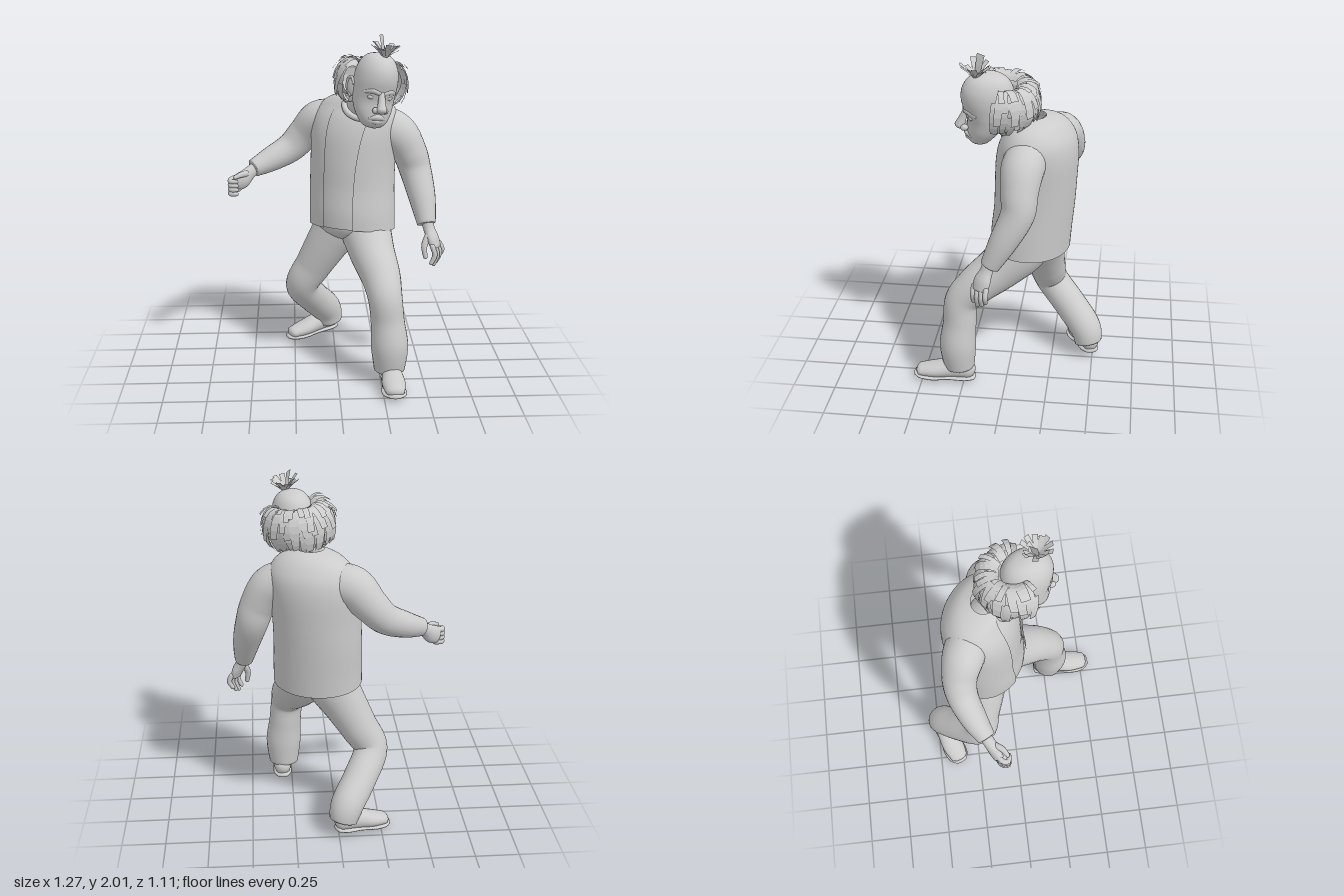
import * as THREE from 'three';
import { mergeVertices, mergeGeometries } from 'three/addons/utils/BufferGeometryUtils.js';

const V = (x, y, z) => new THREE.Vector3(x, y, z);
const smooth = new THREE.MeshStandardMaterial({ color: 0xcccccc, side: THREE.DoubleSide });
const flat = new THREE.MeshStandardMaterial({ color: 0xcccccc, side: THREE.DoubleSide, flatShading: true });

let seed = 7;
const rnd = () => (seed = (seed * 16807) % 2147483647) / 2147483647;

// Catmull-Rom interpolation of every column in a table of rows
function spline(rows, t) {
  const s = t * (rows.length - 1), i = Math.min(Math.floor(s), rows.length - 2), f = s - i;
  const at = k => rows[Math.max(0, Math.min(rows.length - 1, k))];
  const [p, a, b, n] = [at(i - 1), at(i), at(i + 1), at(i + 2)];
  return a.map((_, c) => a[c] + 0.5 * f * (b[c] - p[c] + f * (2 * p[c] - 5 * a[c] + 4 * b[c] - n[c]
    + f * (3 * (a[c] - b[c]) + n[c] - p[c]))));
}

// Grid surface from a point function: i runs along, j runs around
function surface(ni, nj, point) {
  const pos = [], idx = [];
  for (let i = 0; i <= ni; i++) for (let j = 0; j <= nj; j++) pos.push(...point(i, j).toArray());
  for (let i = 0; i < ni; i++) for (let j = 0; j < nj; j++) {
    const a = i * (nj + 1) + j, c = a + nj + 1;
    idx.push(a, a + 1, c, a + 1, c + 1, c);
  }
  let g = new THREE.BufferGeometry();
  g.setAttribute('position', new THREE.Float32BufferAttribute(pos, 3));
  g.setIndex(idx);
  g = mergeVertices(g, 1e-5);
  g.computeVertexNormals();
  return g;
}

// Rounded sweep through rows of [x, y, z, radius, second radius]
function limb(pts, { sides = 24, per = 6, cap = 0.6, ref = V(0.3, 0.2, 1) } = {}) {
  const rows = pts.map(p => [p[0], p[1], p[2], p[3], p[4] ?? p[3]]);
  const n = per * (rows.length - 1), rings = [], N = ref.clone();
  for (let i = 0; i <= n; i++) {
    const r = spline(rows, i / n), a = spline(rows, Math.max(0, i / n - 0.01)), b = spline(rows, Math.min(1, i / n + 0.01));
    const T = V(b[0] - a[0], b[1] - a[1], b[2] - a[2]).normalize();
    N.addScaledVector(T, -N.dot(T)).normalize();
    const ring = (out, k) => rings.push({ c: V(r[0], r[1], r[2]).addScaledVector(T, out * cap * Math.min(r[3], r[4])),
      N: N.clone(), B: T.clone().cross(N), r1: r[3] * k, r2: r[4] * k });
    if (i === 0) for (const q of [1, 0.75, 0.5, 0.25]) ring(-Math.sin(q * Math.PI / 2), Math.cos(q * Math.PI / 2));
    ring(0, 1);
    if (i === n) for (const q of [0.25, 0.5, 0.75, 1]) ring(Math.sin(q * Math.PI / 2), Math.cos(q * Math.PI / 2));
  }
  return surface(rings.length - 1, sides, (i, j) => {
    const { c, N, B, r1, r2 } = rings[i], a = (j % sides) / sides * Math.PI * 2;
    return c.clone().addScaledVector(N, r1 * Math.cos(a)).addScaledVector(B, r2 * Math.sin(a));
  });
}

function add(group, name, geo, mat = smooth) {
  const m = new THREE.Mesh(geo, mat);
  m.name = name;
  group.add(m);
  return m;
}
function ball(group, name, p, s) {
  const m = add(group, name, new THREE.SphereGeometry(1, 24, 16));
  m.position.set(...p);
  m.scale.set(...s);
  return m;
}

// Torso turned towards the model's right: [y, centre x, centre z, half width, half depth]
const TURN = 0.47;
const torsoRows = [
  [0.845, 0.10, -0.125, 0.262, 0.215], [0.95, 0.10, -0.13, 0.26, 0.22], [1.1, 0.10, -0.145, 0.257, 0.22],
  [1.25, 0.105, -0.152, 0.257, 0.222], [1.4, 0.115, -0.16, 0.265, 0.217], [1.5, 0.125, -0.165, 0.258, 0.195],
  [1.57, 0.13, -0.165, 0.22, 0.155], [1.615, 0.13, -0.155, 0.16, 0.118], [1.64, 0.135, -0.135, 0.08, 0.075]];
function torso(scale, gap) {
  const ni = 40, nj = 56;
  return surface(ni, nj, (i, j) => {
    const t = i / ni, [y, cx, cz, a, b] = spline(torsoRows, t);
    const g = gap * (1 + 1.5 * t * t), p = g + (j / nj) * (Math.PI * 2 - gap - g);
    const u = a * scale * Math.sin(p), w = b * scale * Math.cos(p);
    return V(cx + u * Math.cos(TURN) - w * Math.sin(TURN), y + 0.025 * Math.cos(p) * Math.max(0, 1 - 4 * t),
      cz + u * Math.sin(TURN) + w * Math.cos(TURN));
  });
}

function buildHead() {
  const head = new THREE.Group();
  head.name = 'head';
  // Skull and jaw: [y, half width, front z, back z]
  const rows = [[-0.21, 0.006, 0.07, 0.04], [-0.2, 0.05, 0.098, 0.0], [-0.17, 0.08, 0.118, -0.03], [-0.12, 0.105, 0.12, -0.07],
    [-0.06, 0.118, 0.12, -0.11], [0, 0.122, 0.138, -0.13], [0.06, 0.122, 0.153, -0.14], [0.12, 0.112, 0.148, -0.13],
    [0.17, 0.087, 0.118, -0.1], [0.198, 0.052, 0.07, -0.05], [0.208, 0.001, 0.02, 0.018]];
  add(head, 'skull', surface(40, 40, (i, j) => {
    const [y, w, f, b] = spline(rows, i / 40), a = (j % 40) / 40 * Math.PI * 2;
    return V(w * Math.sin(a), y, (f + b) / 2 + (f - b) / 2 * Math.cos(a));
  }));
  add(head, 'nose', limb([[0, 0.005, 0.122, 0.016], [0, -0.05, 0.142, 0.021], [0, -0.095, 0.16, 0.028, 0.03]], { sides: 16, cap: 0.7 }));
  add(head, 'upperLip', limb([[-0.045, -0.152, 0.1, 0.01], [0, -0.14, 0.118, 0.018], [0.045, -0.152, 0.1, 0.01]], { sides: 12 }));
  add(head, 'lowerLip', limb([[-0.038, -0.165, 0.098, 0.01], [0, -0.165, 0.114, 0.015], [0.038, -0.165, 0.098, 0.01]], { sides: 12 }));
  for (const s of [-1, 1]) {
    ball(head, 'nostril', [s * 0.027, -0.1, 0.138], [0.019, 0.018, 0.022]);
    ball(head, 'eye', [s * 0.05, -0.03, 0.102], [0.024, 0.015, 0.018]);
    add(head, 'brow', limb([[s * 0.012, -0.006, 0.13, 0.013], [s * 0.05, 0.006, 0.117, 0.017], [s * 0.088, -0.006, 0.082, 0.012]], { sides: 12 }));
    const ear = ball(head, 'ear', [s * 0.126, 0.0, -0.03], [0.014, 0.055, 0.034]);
    ear.rotation.y = s * -0.4;
    add(head, 'earRim', limb([[s * 0.13, -0.05, -0.02, 0.007], [s * 0.14, -0.01, -0.055, 0.009], [s * 0.142, 0.04, -0.05, 0.009],
      [s * 0.133, 0.055, -0.02, 0.008], [s * 0.126, 0.02, -0.003, 0.007]], { sides: 10 }));
  }

  // Crescent of hair round the back: a solid core covered with layered strips
  const around = (th, ph, k) => {
    const r = 0.128 + 0.08 * k * Math.cos(ph);
    return V(r * Math.sin(th), 0.038 + 0.118 * k * Math.sin(ph), -0.07 - r * Math.cos(th));
  };
  add(head, 'hairCore', surface(36, 16, (i, j) => around((i / 18 - 1) * 1.75, (j % 16) / 8 * Math.PI,
    0.9 * Math.sin(Math.PI * (0.08 + 0.84 * i / 36)) ** 0.25)), flat);
  const strips = [];
  for (let layer = 0; layer < 4; layer++) for (let i = 0; i < 19; i++) {
    const th = (i / 9 - 1) * 1.8 + (rnd() - 0.5) * 0.16, start = 2.3 - layer * 0.8 + (rnd() - 0.5) * 0.35;
    const len = 1.3 + rnd() * 0.5, half = 0.12 + rnd() * 0.06, flare = 0.02 + rnd() * 0.28, skew = (rnd() - 0.5) * 0.35;
    strips.push(surface(5, 1, (u, v) => around(th + skew * u / 5 + (v - 0.5) * 2 * half * (1 - 0.08 * u),
      start - len * u / 5, 0.97 + flare * (u / 5) ** 2)));
  }
  add(head, 'hairStrips', mergeGeometries(strips), flat);

  // Tuft on the crown
  const tuft = [];
  for (let i = 0; i < 19; i++) {
    const a = i * 2.4, tall = i === 0, lean = tall ? 0.03 : 0.03 + 0.055 * rnd(), h = tall ? 0.125 : 0.045 + 0.045 * rnd();
    const d = tall ? V(-0.7, 0, -0.7) : V(Math.sin(a), 0, Math.cos(a)), side = V(d.z, 0, -d.x), w = tall ? 0.026 : 0.016;
    tuft.push(surface(4, 1, (u, v) => V(0.008, 0.182, 0.072).addScaledVector(d, 0.01 + lean * (u / 4) ** 1.5)
      .addScaledVector(side, (v - 0.5) * 2 * w * (0.6 + 0.1 * u)).add(V(0, h * u / 4, 0))));
  }
  add(head, 'crownTuft', mergeGeometries(tuft), flat);
  head.position.set(0.207, 1.7, 0.1);
  head.rotation.set(0, 0.28, -0.14);
  return head;
}

function buildHands(g) {
  // Right hand, fingers curled inwards
  const right = new THREE.Group(), left = new THREE.Group();
  right.name = 'rightHand';
  left.name = 'leftHand';
  add(right, 'palm', limb([[-0.46, 1.19, -0.215, 0.036], [-0.51, 1.155, -0.185, 0.039, 0.034], [-0.55, 1.12, -0.16, 0.052, 0.034],
    [-0.585, 1.105, -0.145, 0.05, 0.028]], { ref: V(0, 1, 0) }));
  for (let i = 0; i < 4; i++) {
    const y = 1.14 - i * 0.025;
    add(right, 'finger', limb([[-0.575, y, -0.15, 0.016], [-0.613, y - 0.008, -0.13, 0.016], [-0.62, y - 0.014, -0.095, 0.015],
      [-0.585, y - 0.015, -0.085, 0.012]], { sides: 12, cap: 1 }));
  }
  add(right, 'thumb', limb([[-0.525, 1.155, -0.165, 0.022], [-0.555, 1.16, -0.12, 0.017], [-0.59, 1.15, -0.095, 0.013]], { sides: 12, cap: 1 }));
  // Left hand, hanging
  add(left, 'palm', limb([[0.524, 0.93, 0.06, 0.035], [0.54, 0.87, 0.078, 0.038, 0.032], [0.56, 0.82, 0.098, 0.052, 0.03],
    [0.575, 0.775, 0.108, 0.05, 0.024]], { ref: V(-0.5, 0, 0.85) }));
  for (let i = 0; i < 4; i++) {
    const x = 0.606 - i * 0.017, z = 0.072 + i * 0.025, l = [0.08, 0.105, 0.115, 0.1][i];
    add(left, 'finger', limb([[x - 0.004, 0.785, z, 0.015], [x + 0.012, 0.785 - l * 0.5, z + 0.003, 0.015],
      [x - 0.008, 0.785 - l, z + 0.004, 0.012]], { sides: 12, cap: 1 }));
  }
  add(left, 'thumb', limb([[0.535, 0.845, 0.105, 0.022], [0.507, 0.785, 0.128, 0.018], [0.513, 0.72, 0.138, 0.013]], { sides: 12, cap: 1 }));
  g.add(right, left);
}

// Shoe with a wider flat sole, from heel to toe; lift raises the heel
function buildShoe(name, heel, toe, lift) {
  const g = new THREE.Group(), up = { ref: V(0, 1, 0), cap: 0.9 };
  g.name = name;
  const at = (t, y, h, w) => [heel[0] + (toe[0] - heel[0]) * t, y + lift * (1 - t), heel[1] + (toe[1] - heel[1]) * t, h, w];
  add(g, 'upper', limb([at(0, 0.065, 0.055, 0.052), at(0.33, 0.07, 0.058, 0.058), at(0.7, 0.056, 0.046, 0.068), at(1, 0.048, 0.034, 0.056)], up));
  add(g, 'sole', limb([at(-0.12, 0.017, 0.016, 0.04), at(0.05, 0.016, 0.016, 0.057), at(0.4, 0.016, 0.014, 0.056), at(0.75, 0.017, 0.014, 0.072),
    at(1, 0.022, 0.014, 0.064), at(1.12, 0.028, 0.013, 0.04)], up));
  return g;
}

export function createModel() {
  const g = new THREE.Group();
  g.name = 'walkingMan';

  // Open jacket over a shirt
  add(g, 'jacket', torso(1, 0.35));
  add(g, 'shirt', torso(0.95, 0));
  add(g, 'neck', limb([[0.125, 1.5, -0.13, 0.1], [0.15, 1.57, -0.06, 0.092], [0.185, 1.64, 0.03, 0.085], [0.2, 1.7, 0.06, 0.08]]));
  const collar = add(g, 'collar', new THREE.TorusGeometry(0.092, 0.018, 12, 32));
  collar.position.set(0.14, 1.57, -0.05);
  collar.rotation.set(Math.PI / 2 + 0.6, -0.15, 0);
  add(g, 'rightSleeve', limb([[0.02, 1.47, -0.225, 0.115], [-0.09, 1.455, -0.275, 0.118], [-0.18, 1.365, -0.31, 0.1],
    [-0.265, 1.28, -0.305, 0.088], [-0.385, 1.22, -0.255, 0.074], [-0.485, 1.18, -0.2, 0.053]], { cap: 0.12 }));
  add(g, 'leftSleeve', limb([[0.23, 1.47, -0.13, 0.115], [0.355, 1.41, -0.1, 0.119], [0.432, 1.3, -0.092, 0.103], [0.47, 1.19, -0.085, 0.094],
    [0.505, 1.04, -0.012, 0.079], [0.525, 0.9, 0.06, 0.055]], { cap: 0.12 }));

  // Trousers
  ball(g, 'pelvis', [0.1, 0.87, -0.135], [0.225, 0.115, 0.19]).rotation.y = -TURN;
  add(g, 'rightTrouserLeg', limb([[0.065, 0.97, -0.165, 0.15], [0.025, 0.84, -0.17, 0.148], [-0.05, 0.71, -0.182, 0.13], [-0.13, 0.57, -0.203, 0.112],
    [-0.203, 0.43, -0.23, 0.1], [-0.13, 0.3, -0.35, 0.098], [-0.05, 0.19, -0.45, 0.096], [-0.025, 0.1, -0.474, 0.082]], { cap: 0.15 }));
  add(g, 'leftTrouserLeg', limb([[0.145, 0.97, -0.15, 0.15], [0.175, 0.84, -0.08, 0.152], [0.21, 0.72, 0.045, 0.134], [0.25, 0.62, 0.172, 0.116],
    [0.27, 0.52, 0.262, 0.1], [0.285, 0.38, 0.275, 0.098], [0.297, 0.23, 0.287, 0.108], [0.298, 0.085, 0.28, 0.09]], { cap: 0.15 }));

  g.add(buildShoe('rightShoe', [-0.02, -0.485], [-0.26, -0.385], 0.035));
  g.add(buildShoe('leftShoe', [0.308, 0.23], [0.312, 0.51], 0));
  buildHands(g);
  g.add(buildHead());
  return g;
}
